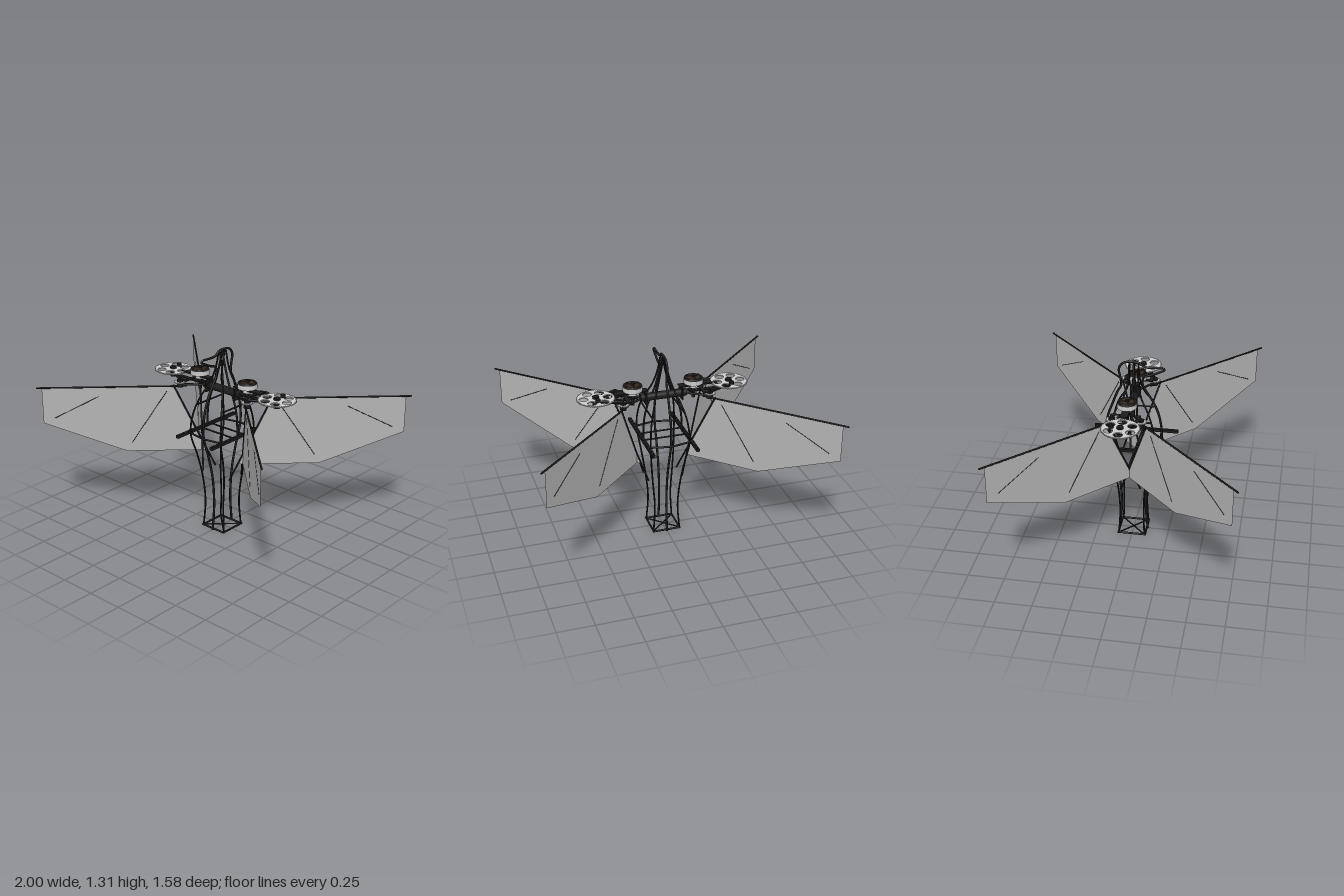
import * as THREE from 'three';

const black = new THREE.MeshStandardMaterial({ color: 0x1c1c1c });
const brown = new THREE.MeshStandardMaterial({ color: 0x3a2a20 });
const grey = new THREE.MeshStandardMaterial({ color: 0xcccccc });
const film = new THREE.MeshStandardMaterial({ color: 0xb4b4b4, side: THREE.DoubleSide });
const V = (x, y, z) => new THREE.Vector3(x, y, z);

function add(parent, name, geo, mat, x = 0, y = 0, z = 0) {
  const m = new THREE.Mesh(geo, mat);
  m.name = name;
  m.position.set(x, y, z);
  parent.add(m);
  return m;
}

// Straight round rod between two points
function rod(parent, name, a, b, r = 0.006, mat = black) {
  const m = add(parent, name, new THREE.CylinderGeometry(r, r, a.distanceTo(b), 8), mat);
  m.position.copy(a).add(b).multiplyScalar(0.5);
  m.quaternion.setFromUnitVectors(V(0, 1, 0), b.clone().sub(a).normalize());
  return m;
}

// Rod bent along a smooth curve
function bent(parent, name, pts, r = 0.007) {
  const c = new THREE.CatmullRomCurve3(pts);
  return add(parent, name, new THREE.TubeGeometry(c, pts.length * 8, r, 8), black);
}

const disc = (parent, name, r, h, x, y, z, mat, r2 = r) =>
  add(parent, name, new THREE.CylinderGeometry(r2, r, h, 32), mat, x, y, z);

// Flat horizontal plate from a shape in x and z
function plate(parent, name, shape, h, x, y, z, mat) {
  const g = new THREE.ExtrudeGeometry(shape, { depth: h, bevelEnabled: false, curveSegments: 20 });
  g.rotateX(-Math.PI / 2);
  return add(parent, name, g, mat, x, y - h / 2, z);
}

function circleHole(shape, x, y, r) {
  const h = new THREE.Path();
  h.absarc(x, y, r, 0, Math.PI * 2, true);
  shape.holes.push(h);
}

function gearShape(r, teeth, holes, holeR, holeDist) {
  const s = new THREE.Shape();
  for (let i = 0; i < teeth * 4; i++) {
    const a = (i / (teeth * 4)) * Math.PI * 2, q = i % 4 < 2 ? r : r - 0.007;
    s[i ? 'lineTo' : 'moveTo'](q * Math.cos(a), q * Math.sin(a));
  }
  s.closePath();
  for (let i = 0; i < holes; i++) {
    const a = (i / holes) * Math.PI * 2;
    circleHole(s, holeDist * Math.cos(a), holeDist * Math.sin(a), holeR);
  }
  return s;
}

function buildBody() {
  const g = new THREE.Group();
  g.name = 'bodyFrame';
  // Front and back ribs, joined over the head and beak
  const low = [[0.1, 0], [0.085, 0.2], [0.1, 0.4], [0.135, 0.55], [0.19, 0.74], [0.18, 0.88], [0.14, 1]];
  bent(g, 'frontRib', [...low, [0.1, 1.07], [0.06, 1.14], [0.065, 1.195], [0.12, 1.218], [0.195, 1.253]]
    .map(([z, y]) => V(0, y, z)), 0.008);
  bent(g, 'backRib', [...low, [0.11, 1.08], [0.085, 1.13], [0.09, 1.18], [0.1, 1.25], [0.07, 1.293],
    [0, 1.304], [-0.035, 1.298], [-0.07, 1.274], [-0.195, 1.274]].map(([z, y]) => V(0, y, -z)), 0.008);
  bent(g, 'beakTip', [V(0, 1.253, 0.195), V(0, 1.262, 0.203), V(0, 1.274, 0.195)], 0.008);
  // Corner ribs running from the base to the crown
  const corner = [[0.095, 0, 0.09], [0.083, 0.2, 0.083], [0.1, 0.4, 0.095], [0.118, 0.55, 0.125],
    [0.136, 0.72, 0.17], [0.125, 0.87, 0.15], [0.095, 0.98, 0.11], [0.06, 1.07, 0.06],
    [0.03, 1.17, 0.035], [0.004, 1.298, 0.03]];
  for (const sx of [-1, 1]) {
    for (const sz of [-1, 1]) {
      bent(g, 'cornerRib', corner.map(([x, y, z]) => V(sx * x, y, sz * z)), 0.006);
      rod(g, 'baseBrace', V(0, 0.007, 0), V(sx * 0.095, 0.007, sz * 0.09), 0.005);
    }
    rod(g, 'baseSide', V(sx * 0.095, 0.007, -0.1), V(sx * 0.095, 0.007, 0.1), 0.007);
    bent(g, 'sideRib', [V(sx * 0.138, 0.72, 0), V(sx * 0.128, 0.87, 0), V(sx * 0.098, 0.98, 0),
      V(sx * 0.06, 1.07, 0), V(sx * 0.03, 1.17, 0), V(0, 1.3, 0)]);
    rod(g, 'sideBrace', V(sx * 0.115, 0.92, -0.135), V(sx * 0.115, 0.92, 0.135));
    // Perforated rails either side of the body
    const rail = new THREE.Shape();
    rail.moveTo(-0.011, -0.285);
    rail.lineTo(0.011, -0.285).lineTo(0.011, 0.3).lineTo(-0.011, 0.3);
    for (let i = 0; i < 14; i++) circleHole(rail, 0, -0.265 + i * 0.042, 0.005);
    plate(g, 'rail', rail, 0.02, sx * 0.153, 0.72, 0, black);
  }
  for (const sz of [-1, 1]) {
    rod(g, 'baseEnd', V(-0.1, 0.007, sz * 0.095), V(0.1, 0.007, sz * 0.095), 0.007);
    bent(g, 'waistHoop', [V(-0.136, 0.72, sz * 0.17), V(0, 0.72, sz * 0.193), V(0.136, 0.72, sz * 0.17)]);
    rod(g, 'railCrossbar', V(-0.155, 0.72, sz * 0.05), V(0.155, 0.72, sz * 0.05), 0.006);
  }
  return g;
}

// Wings lie on upright planes splayed at about 45 degrees
function buildWing(sx, sz) {
  const g = new THREE.Group();
  g.name = 'wing';
  const at = (x, y) => V(sx * x, y, sz * (0.13 + 0.968 * (x - 0.32)));
  const s = new THREE.Shape([[0.32, 1], [0.968, 1], [0.968, 0.745], [0.56, 0.525], [0.165, 0.525]]
    .map(([x, y]) => new THREE.Vector2(x, y)));
  const geo = new THREE.ShapeGeometry(s), p = geo.attributes.position;
  for (let i = 0; i < p.count; i++) {
    const v = at(p.getX(i), p.getY(i));
    p.setXYZ(i, v.x, v.y, v.z);
  }
  geo.computeVertexNormals();
  add(g, 'membrane', geo, film);
  rod(g, 'leadingSpar', at(0.26, 1.002), at(0.995, 1.002), 0.006);
  rod(g, 'rootSpar', at(0.325, 1.01), at(0.12, 0.405), 0.006);
  rod(g, 'outerBatten', at(0.69, 0.935), at(0.91, 0.782), 0.002);
  rod(g, 'innerBatten', at(0.358, 0.965), at(0.535, 0.59), 0.002);
  return g;
}

// Motor, gears and wing linkage on one side
function buildDrive(sx) {
  const g = new THREE.Group();
  g.name = 'drive';
  const z = -0.01, m = sx * 0.212, c = sx * 0.464;
  disc(g, 'motorCan', 0.066, 0.032, m, 1.098, z, grey);
  disc(g, 'motorCap', 0.062, 0.012, m, 1.118, z, brown, 0.045);
  disc(g, 'motorShaft', 0.012, 0.16, m, 1.055, z, black);
  const ring = add(g, 'motorRing', new THREE.TorusGeometry(0.056, 0.008, 8, 36), black, m, 1.115, z);
  ring.rotation.x = Math.PI / 2;
  for (let i = 0; i < 3; i++) {
    const a = i * Math.PI * 2 / 3 + Math.PI / 6;
    rod(g, 'motorSpoke', V(m, 1.124, z), V(m + 0.055 * Math.cos(a), 1.119, z + 0.055 * Math.sin(a)), 0.007);
  }
  disc(g, 'pinion', 0.03, 0.02, m, 1.06, z, grey);
  plate(g, 'mainGear', gearShape(0.128, 60, 6, 0.03, 0.082), 0.008, c, 1.058, z, grey);
  disc(g, 'gearHub', 0.022, 0.07, c, 1.04, z, black);
  // Triangular gearbox frame, upper and lower
  const tri = new THREE.Shape([[0.25, -0.1], [0.31, -0.1], [0.5, -0.015], [0.5, 0.015], [0.31, 0.1], [0.25, 0.1]]
    .map(([x, y]) => new THREE.Vector2(sx * x, y)));
  tri.holes.push(new THREE.Path([[0.275, -0.075], [0.31, -0.075], [0.37, -0.045], [0.37, 0.045], [0.31, 0.075], [0.275, 0.075]]
    .map(([x, y]) => new THREE.Vector2(sx * x, y))));
  tri.holes.push(new THREE.Path([[0.39, -0.036], [0.45, -0.01], [0.45, 0.01], [0.39, 0.036]]
    .map(([x, y]) => new THREE.Vector2(sx * x, y))));
  plate(g, 'gearboxFrame', tri, 0.008, 0, 1.042, z, black);
  add(g, 'motorMount', new THREE.BoxGeometry(0.23, 0.009, 0.05), black, sx * 0.225, 1.07, z);
  add(g, 'lowerArm', new THREE.BoxGeometry(0.22, 0.008, 0.03), black, sx * 0.29, 1.022, z);
  for (const sz of [-1, 1]) {
    const hx = sx * 0.3, hz = sz * 0.095;
    disc(g, 'wingHinge', 0.022, 0.05, hx, 1.018, hz, black);
    plate(g, 'hingeGear', gearShape(0.04, 20, 0), 0.008, hx, 1.028, hz, grey);
    rod(g, 'pushRod', V(hx, 1.05, hz), V(sx * 0.48, 1.05, z + sz * 0.02), 0.008);
    rod(g, 'mountStrut', V(sx * 0.13, 1.02, z), V(hx, 1.01, hz), 0.008);
  }
  disc(g, 'crankPin', 0.016, 0.03, c, 1.066, z - 0.06, black);
  // Central axle and end plate
  const axle = disc(g, 'centralAxle', 0.027, 0.16, sx * 0.08, 1.02, z, black);
  axle.rotation.z = Math.PI / 2;
  add(g, 'endPlate', new THREE.BoxGeometry(0.01, 0.085, 0.075), black, sx * 0.127, 1.02, z);
  return g;
}

export function createModel() {
  const model = new THREE.Group();
  model.name = 'flappingMachine';
  model.add(buildBody());
  for (const sx of [-1, 1]) {
    model.add(buildDrive(sx));
    for (const sz of [-1, 1]) model.add(buildWing(sx, sz));
  }
  return model;
}
